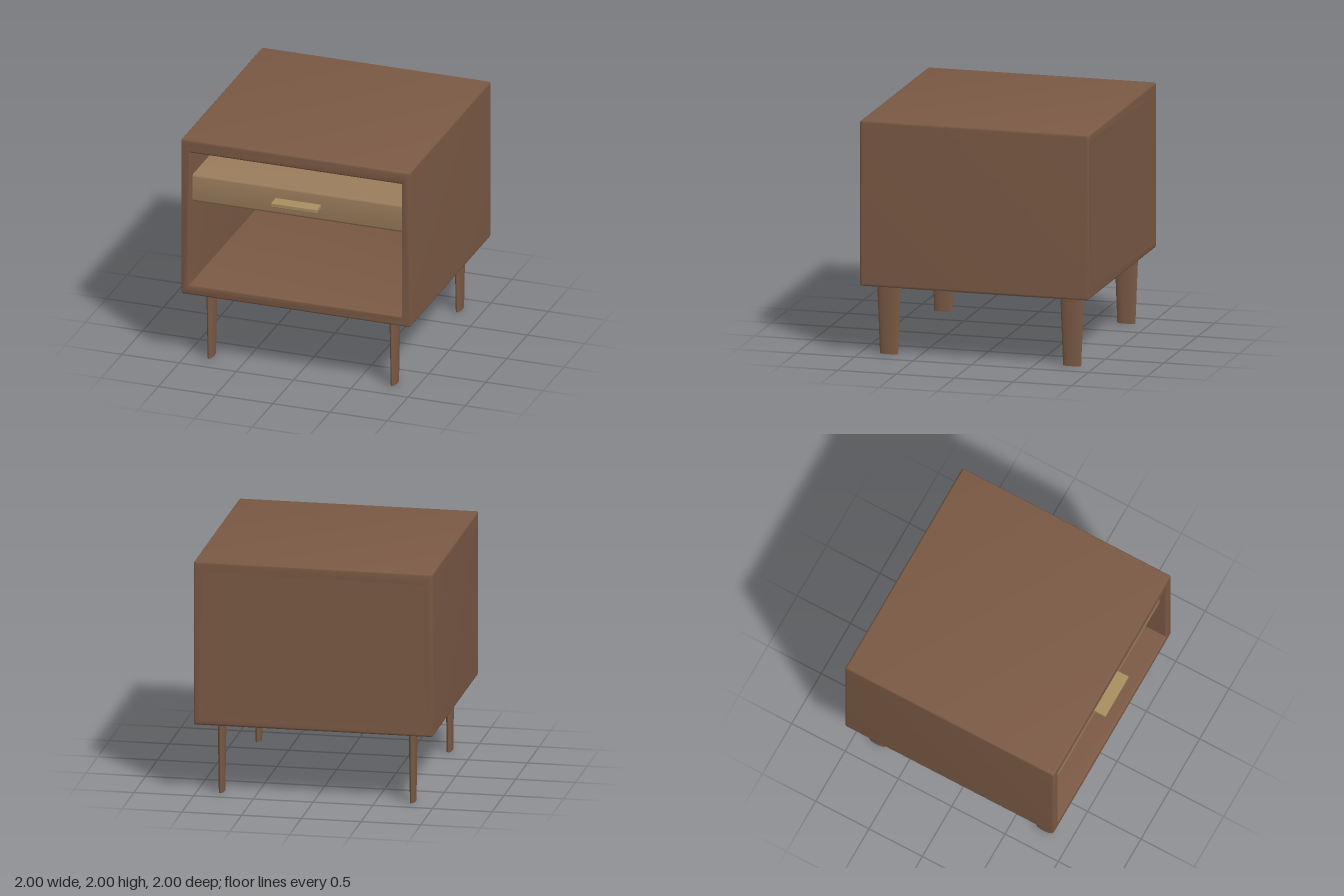
import * as THREE from 'three';
import { toCreasedNormals } from 'three/addons/utils/BufferGeometryUtils.js';
import { RoundedBoxGeometry } from 'three/addons/geometries/RoundedBoxGeometry.js';

const walnut = new THREE.MeshStandardMaterial({ color: 0x7b5a45 });
const oak = new THREE.MeshStandardMaterial({ color: 0x9a7c5c });
const brass = new THREE.MeshStandardMaterial({ color: 0xa89060 });

function part(group, name, geometry, material) {
  const mesh = new THREE.Mesh(geometry, material);
  mesh.name = name;
  group.add(mesh);
  return mesh;
}

// Rectangle path with small rounded corners
function roundRect(target, x0, y0, x1, y1, r) {
  target.moveTo(x0 + r, y0);
  target.lineTo(x1 - r, y0);
  target.absarc(x1 - r, y0 + r, r, -Math.PI / 2, 0);
  target.lineTo(x1, y1 - r);
  target.absarc(x1 - r, y1 - r, r, 0, Math.PI / 2);
  target.lineTo(x0 + r, y1);
  target.absarc(x0 + r, y1 - r, r, Math.PI / 2, Math.PI);
  target.lineTo(x0, y0 + r);
  target.absarc(x0 + r, y0 + r, r, Math.PI, Math.PI * 1.5);
  return target;
}

// Cabinet shell: bevelled frame, drawn wide and squeezed so side edges stay crisp
function shellGeometry() {
  const squeeze = 0.4, bevel = 0.02, back = -1, front = 0.955;
  const shape = roundRect(new THREE.Shape(), -1 / squeeze, 0.605, 1 / squeeze, 2, 0.022);
  const x = 0.925 / squeeze, y0 = 0.7, y1 = 1.885;
  shape.holes.push(new THREE.Path([
    new THREE.Vector2(-x, y0), new THREE.Vector2(-x, y1),
    new THREE.Vector2(x, y1), new THREE.Vector2(x, y0),
  ]));
  const geometry = new THREE.ExtrudeGeometry(shape, {
    depth: front - back - 2 * bevel, curveSegments: 5,
    bevelSize: bevel, bevelThickness: bevel, bevelOffset: -bevel, bevelSegments: 4,
  });
  geometry.translate(0, 0, back + bevel);
  geometry.scale(squeeze, 1, 1);
  return toCreasedNormals(geometry, 0.6);
}

// Drawer: rounded side profile swept across the width
function drawerGeometry() {
  const halfWidth = 0.922;
  const profile = roundRect(new THREE.Shape(), -0.89, 1.42, 0.93, 1.665, 0.024);
  const geometry = new THREE.ExtrudeGeometry(profile, {
    depth: 2 * halfWidth, bevelEnabled: false, curveSegments: 6,
  });
  geometry.translate(0, 0, -halfWidth);
  geometry.rotateY(Math.PI / 2);
  return toCreasedNormals(geometry, 0.6);
}

export function createModel() {
  const model = new THREE.Group();
  model.name = 'nightstand';

  part(model, 'cabinetShell', shellGeometry(), walnut);
  part(model, 'backPanel', new THREE.BoxGeometry(1.88, 1.24, 0.08), walnut)
    .position.set(0, 1.2925, -0.96);

  part(model, 'drawer', drawerGeometry(), oak);
  part(model, 'drawerHandle', new RoundedBoxGeometry(0.4, 0.036, 0.13, 2, 0.006), brass)
    .position.set(0, 1.547, 0.935);

  // Tapered legs with a flat oval section
  const legGeometry = new THREE.CylinderGeometry(0.1025, 0.0775, 0.62, 32);
  legGeometry.scale(0.3, 1, 1);
  for (const [row, z] of [['front', 0.763], ['back', -0.803]]) {
    for (const [side, x] of [['Left', 0.8], ['Right', -0.8]]) {
      part(model, `${row}${side}Leg`, legGeometry, walnut).position.set(x, 0.31, z);
    }
  }
  return model;
}
